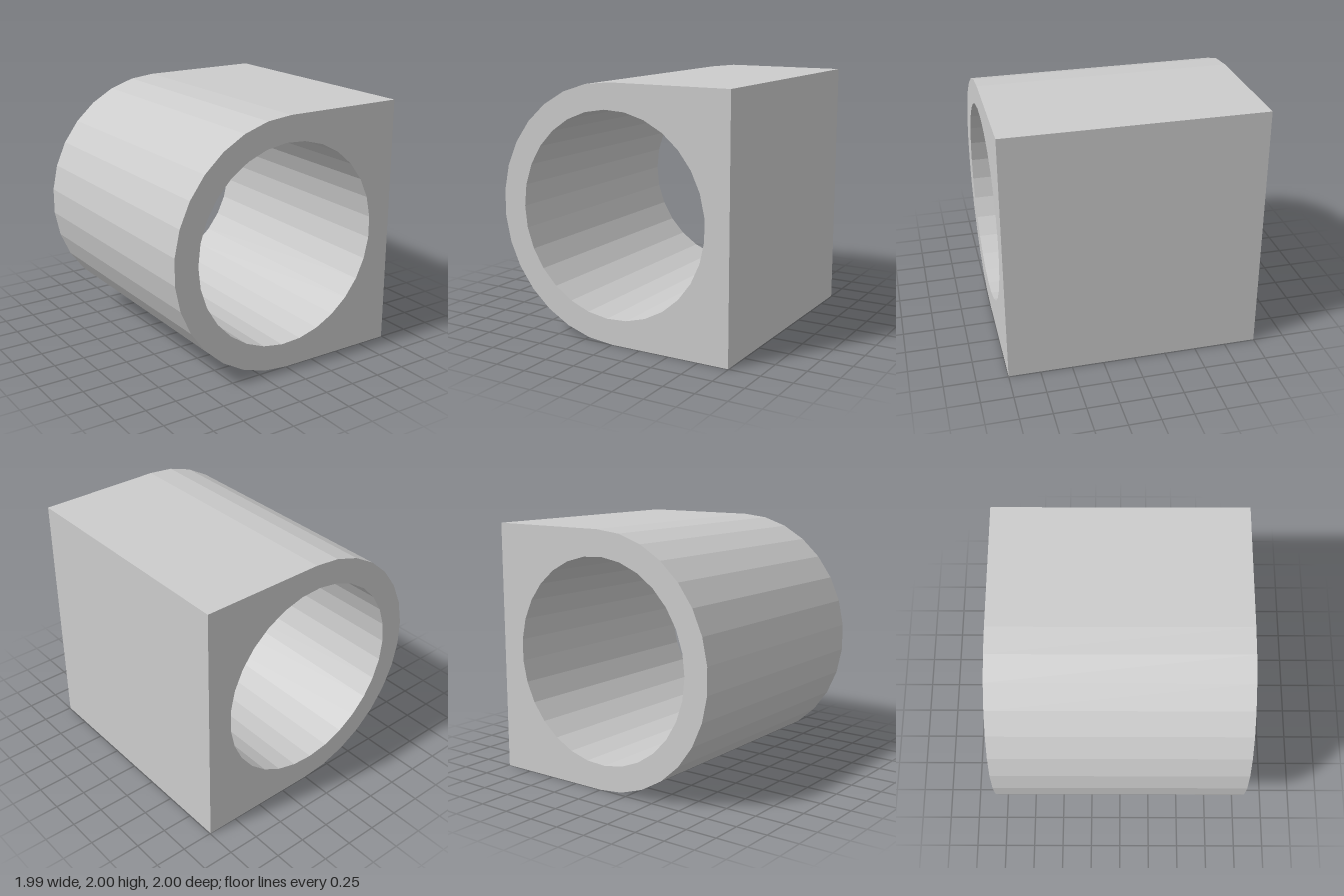
import * as THREE from 'three';

// Point on a circle, angle in turns
const onCircle = (radius, turn) => {
  const a = turn * Math.PI * 2;
  return new THREE.Vector2(Math.cos(a) * radius, Math.sin(a) * radius);
};

export function createModel() {
  const group = new THREE.Group();
  group.name = 'boredBlock';

  const depth = 2;
  const outerSides = 30;
  const boreSides = 29;
  const right = Math.cos(Math.PI / outerSides);

  // Outline: faceted half round on the -x side, square on the +x side
  const outline = [new THREE.Vector2(right, -1), new THREE.Vector2(right, 1)];
  for (let i = 0; i <= outerSides / 2; i++) {
    outline.push(onCircle(1, 0.25 + i / outerSides));
  }
  const profile = new THREE.Shape(outline);

  // Round bore with a vertex pointing to -x
  const bore = [];
  for (let i = 0; i < boreSides; i++) {
    bore.push(onCircle(0.8, 0.5 - i / boreSides));
  }
  profile.holes.push(new THREE.Path(bore));

  const geometry = new THREE.ExtrudeGeometry(profile, { depth, bevelEnabled: false });
  geometry.translate(0, 1, -depth / 2);

  const block = new THREE.Mesh(
    geometry,
    new THREE.MeshStandardMaterial({ color: 0xcccccc, flatShading: true })
  );
  block.name = 'blockWithBore';
  group.add(block);
  return group;
}
